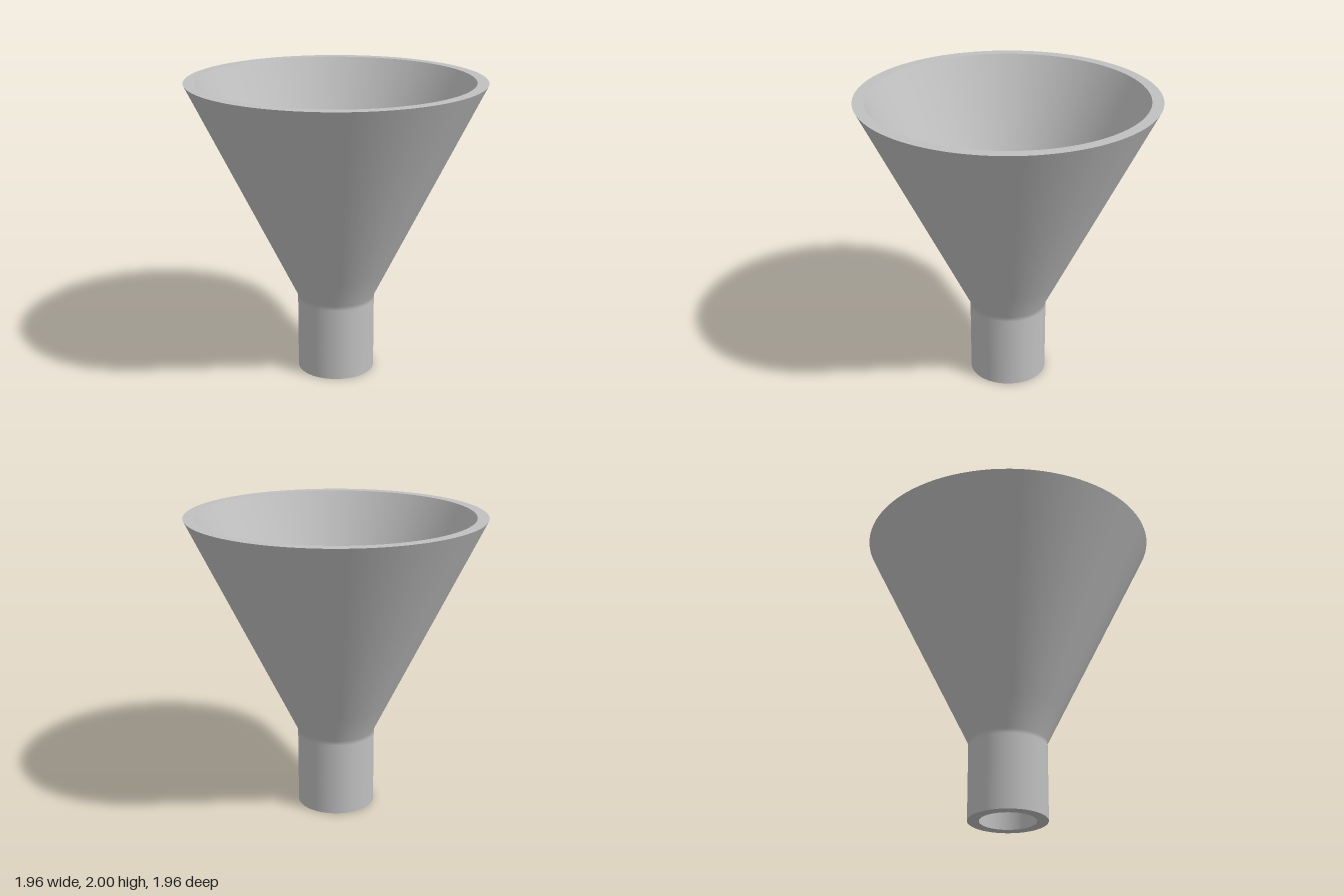
import * as THREE from 'three';

const OUTER = { rim: 0.98, neck: 0.26 };
const INNER = { rim: 0.905, neck: 0.185 };
const HEIGHT = 2, NECK_Y = 0.53, BLEND_Y = 0.72;

// Wall profile from the spout end up to the rim, with a short soft blend at the neck
function wallProfile({ rim, neck }) {
  const blend = neck + (rim - neck) * (BLEND_Y - NECK_Y) / (HEIGHT - NECK_Y);
  return [[neck, 0], [neck, NECK_Y - 0.03], [neck, NECK_Y], [blend, BLEND_Y], [rim, HEIGHT]];
}

export function createModel() {
  const group = new THREE.Group();
  group.name = 'funnel';
  const grey = new THREE.MeshStandardMaterial({ color: 0xc0c0c0 });
  grey.name = 'light grey';

  const addLathe = (name, profile) => {
    const points = profile.map(([r, y]) => new THREE.Vector2(r, y));
    const mesh = new THREE.Mesh(new THREE.LatheGeometry(points, 96), grey);
    mesh.name = name;
    group.add(mesh);
  };

  // Separate surfaces keep the rim and spout edges sharp
  addLathe('outerWall', wallProfile(OUTER));
  addLathe('innerWall', wallProfile(INNER).reverse());
  addLathe('topRim', [[OUTER.rim, HEIGHT], [INNER.rim, HEIGHT]]);
  addLathe('spoutEnd', [[INNER.neck, 0], [OUTER.neck, 0]]);

  return group;
}
